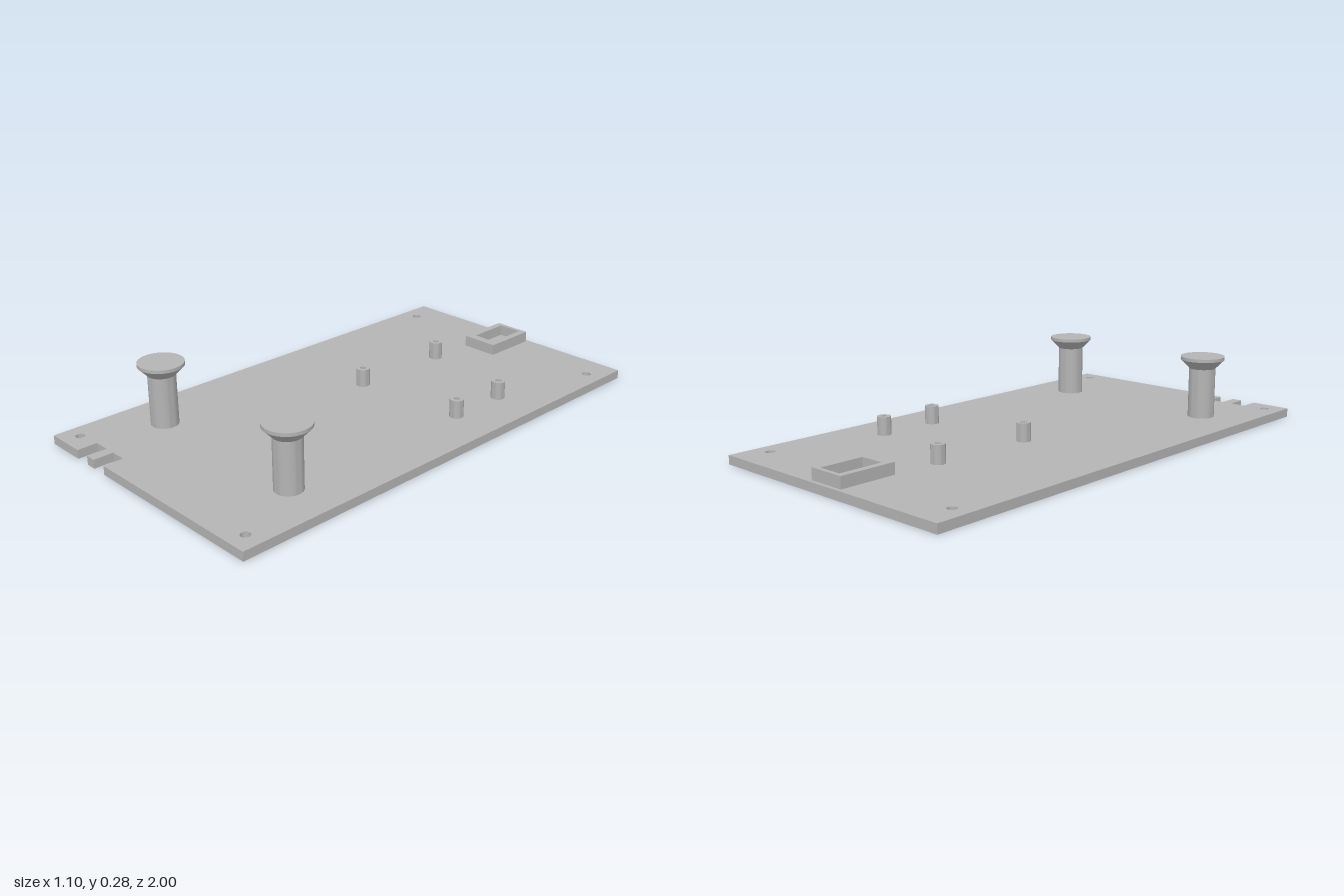
import * as THREE from 'three';
import { toCreasedNormals } from 'three/addons/utils/BufferGeometryUtils.js';

const PLATE_TOP = 0.035;
const grey = new THREE.MeshStandardMaterial({ color: 0xb4b4b4 });
grey.name = 'grey plastic';

// Closed outline from [x, z] corners; shape y is -z
function outline(points, Type = THREE.Shape) {
  return new Type(points.map(([x, z]) => new THREE.Vector2(x, -z)));
}

function rect(x0, x1, z0, z1, Type) {
  return outline([[x0, z0], [x0, z1], [x1, z1], [x1, z0]], Type);
}

function roundHole(x, z, r) {
  return new THREE.Path().absarc(x, -z, r, 0, Math.PI * 2, true);
}

// Extrude an outline upwards from y0 to y1
function slab(name, shape, y0, y1) {
  let geometry = new THREE.ExtrudeGeometry(shape, { depth: y1 - y0, bevelEnabled: false, curveSegments: 24 });
  geometry.rotateX(-Math.PI / 2).translate(0, y0, 0);
  geometry = toCreasedNormals(geometry, 0.5);
  const mesh = new THREE.Mesh(geometry, grey);
  mesh.name = name;
  return mesh;
}

// Turned part from [radius, y] points
function turned(name, profile, x, z) {
  const lathe = new THREE.LatheGeometry(profile.map(([r, y]) => new THREE.Vector2(r, y)), 40);
  const mesh = new THREE.Mesh(toCreasedNormals(lathe, 0.5), grey);
  mesh.name = name;
  mesh.position.set(x, 0, z);
  return mesh;
}

export function createModel() {
  const model = new THREE.Group();
  model.name = 'mountingPlate';

  // Base plate with two cable notches in the front edge
  const base = outline([
    [-0.548, -1], [-0.548, 1],
    [-0.385, 1], [-0.385, 0.92], [-0.322, 0.92], [-0.322, 1],
    [-0.28, 1], [-0.28, 0.92], [-0.217, 0.92], [-0.217, 1],
    [0.548, 1], [0.548, -1],
  ]);

  // Corner screw holes
  for (const x of [-0.477, 0.477]) {
    for (const z of [-0.873, 0.932]) base.holes.push(roundHole(x, z, 0.018));
  }

  // Keyhole: round opening with a slot towards the back
  const kz = -0.836, kr = 0.043, slot = 0.02;
  const a = Math.acos(slot / kr);
  const keyhole = new THREE.Path();
  keyhole.moveTo(slot, 0.927);
  keyhole.absarc(0, -kz, kr, a, Math.PI - a, true);
  keyhole.lineTo(-slot, 0.927);
  keyhole.closePath();
  base.holes.push(keyhole);
  model.add(slab('basePlate', base, 0, PLATE_TOP));

  // Raised frame around the keyhole
  const frame = rect(-0.077, 0.077, -0.985, -0.757);
  frame.holes.push(rect(-0.05, 0.05, -0.968, -0.792, THREE.Path));
  model.add(slab('keyholeFrame', frame, PLATE_TOP, 0.08));

  // Hollow standoffs
  for (const [x, z] of [[-0.08, -0.563], [0.368, -0.429], [0.368, -0.183], [-0.09, -0.138]]) {
    model.add(turned('standoff', [
      [0.027, PLATE_TOP], [0.027, 0.107], [0.012, 0.107], [0.012, PLATE_TOP + 0.001], [0, PLATE_TOP + 0.001],
    ], x, z));
  }

  // Flared posts
  for (const x of [-0.352, 0.352]) {
    model.add(turned('flaredPost', [
      [0.053, PLATE_TOP], [0.053, 0.235], [0.088, 0.271], [0.088, 0.284], [0, 0.284],
    ], x, 0.645));
  }
  return model;
}
